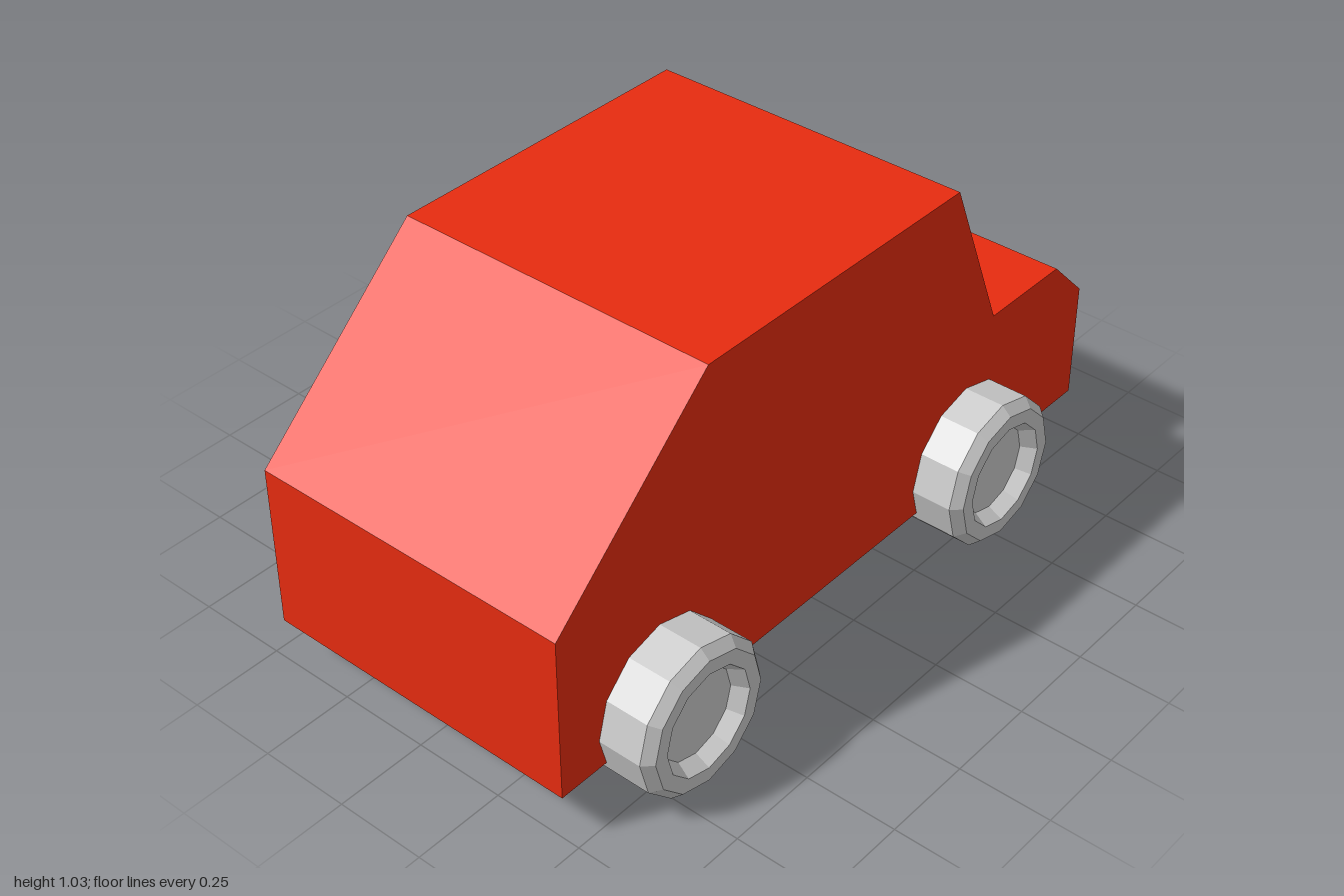
import * as THREE from 'three';

const HALF_W = 0.455;

// Side outline as [z, y], running from the front bottom over the roof to the back
const PROFILE = [
  [1, 0.125], [1, 0.58], [0.505, 1.03], [-0.405, 1.03],
  [-0.595, 0.58], [-0.875, 0.58], [-1, 0.455], [-1, 0.125],
];
const WINDOW_EDGE = 3; // the sloping edge that holds the rear window

function createBodyGeometry() {
  const pos = [];
  const tri = (a, b, c) => pos.push(...a, ...b, ...c);
  const quad = (a, b, c, d) => { tri(a, b, c); tri(a, c, d); };

  // four corners of a panel across the body, anticlockwise from outside
  const panel = ([z0, y0], [z1, y1], w) => [
    [-w, y0, z0], [w, y0, z0], [w, y1, z1], [-w, y1, z1],
  ];
  // strip of four quads joining two rectangles
  const band = (a, b) => {
    for (let i = 0; i < 4; i++) {
      const j = (i + 1) % 4;
      quad(a[i], a[j], b[j], b[i]);
    }
  };

  PROFILE.forEach((p, i) => {
    const q = PROFILE[(i + 1) % PROFILE.length];
    const outer = panel(p, q, HALF_W);
    if (i !== WINDOW_EDGE) {
      quad(...outer);
      return;
    }
    // window frame, recess walls and sunken pane
    const dz = q[0] - p[0], dy = q[1] - p[1];
    const mix = (t) => [p[0] + dz * t, p[1] + dy * t];
    const inner = panel(mix(0.075), mix(0.925), HALF_W - 0.04);
    const depth = 0.02 / Math.hypot(dz, dy);
    const pane = inner.map(([x, y, z]) => [x, y + dz * depth, z - dy * depth]);
    band(outer, inner);
    band(inner, pane);
    quad(...pane);
  });

  // flat sides
  const outline = PROFILE.map(([z, y]) => new THREE.Vector2(z, y));
  for (const face of THREE.ShapeUtils.triangulateShape(outline, [])) {
    let [a, b, c] = face.map((i) => outline[i]);
    const area = (b.x - a.x) * (c.y - a.y) - (b.y - a.y) * (c.x - a.x);
    if (area < 0) [b, c] = [c, b];
    const at = (x, v) => [x, v.y, v.x];
    tri(at(-HALF_W, a), at(-HALF_W, b), at(-HALF_W, c));
    tri(at(HALF_W, a), at(HALF_W, c), at(HALF_W, b));
  }

  const geo = new THREE.BufferGeometry();
  geo.setAttribute('position', new THREE.Float32BufferAttribute(pos, 3));
  geo.computeVertexNormals();
  return geo;
}

// Twelve-sided wheel turned around y, outer face at the top
function createWheelGeometry() {
  const points = [
    [0, 0], [0.196, 0], [0.206, 0.01], [0.206, 0.254], [0.182, 0.28],
    [0.143, 0.28], [0.122, 0.24], [0, 0.24],
  ].map(([r, h]) => new THREE.Vector2(r, h));
  const geo = new THREE.LatheGeometry(points, 12).toNonIndexed();
  geo.computeVertexNormals();
  return geo;
}

export function createModel() {
  const car = new THREE.Group();
  car.name = 'car';

  const paint = new THREE.MeshStandardMaterial({ color: 0xe82c10, flatShading: true });
  const grey = new THREE.MeshStandardMaterial({ color: 0xcccccc, flatShading: true });

  const body = new THREE.Mesh(createBodyGeometry(), paint);
  body.name = 'body';
  car.add(body);

  // four wheels, mirrored left and right
  const wheelGeo = createWheelGeometry();
  for (const [end, z, inside] of [['front', 0.67, 0.32], ['back', -0.495, 0.312]]) {
    for (const [side, s] of [['Left', 1], ['Right', -1]]) {
      const wheel = new THREE.Mesh(wheelGeo, grey);
      wheel.name = `${end}${side}Wheel`;
      wheel.position.set(s * inside, 0.206, z);
      wheel.rotation.z = -s * Math.PI / 2;
      car.add(wheel);
    }
  }
  return car;
}
